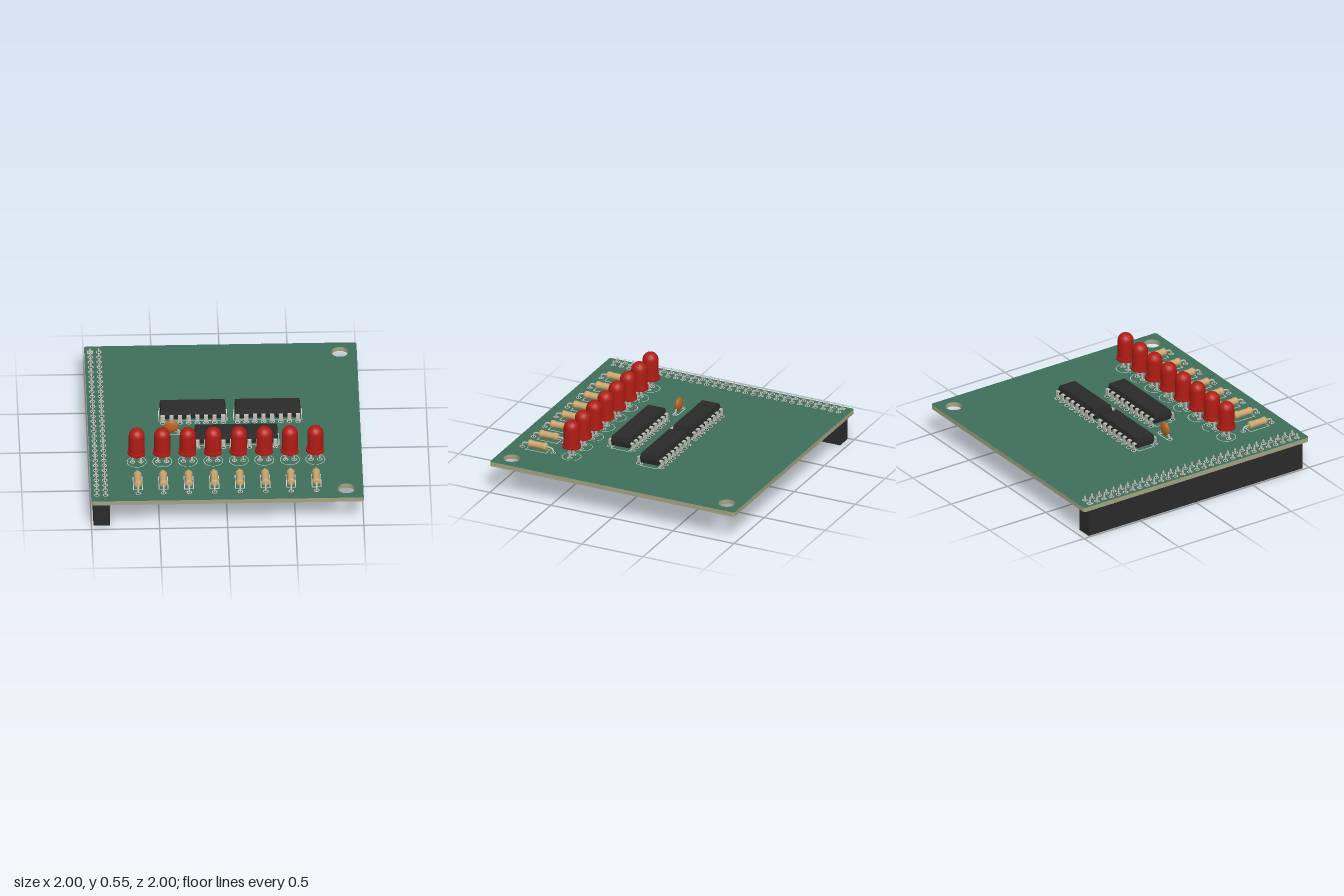
import * as THREE from 'three';
import { mergeGeometries, toCreasedNormals } from 'three/addons/utils/BufferGeometryUtils.js';

const TOP = 0.25, BOTTOM = 0.215, PITCH = 0.0635, PIN_END = 0.182;
const mat = (color) => new THREE.MeshStandardMaterial({ color });
const V = (x, y, z) => new THREE.Vector3(x, y, z);

export function createModel() {
  const model = new THREE.Group();
  const green = mat(0x3f6f5b), edge = mat(0xa3a382), black = mat(0x2a2a2a), metal = mat(0xbdbdb5);
  const red = mat(0xb01c14), tan = mat(0xc9a46c), orange = mat(0xb8641c), white = mat(0xc8cfc8);
  const dark = mat(0x2b2420);

  const add = (name, geometry, material, parent = model) => {
    const m = new THREE.Mesh(geometry, material);
    m.name = name;
    parent.add(m);
    return m;
  };
  const merge = (list) => mergeGeometries(list.map((g) => (g.index ? g.toNonIndexed() : g)));
  const box = (x0, x1, y0, y1, z0, z1) =>
    new THREE.BoxGeometry(x1 - x0, y1 - y0, z1 - z0).translate((x0 + x1) / 2, (y0 + y1) / 2, (z0 + z1) / 2);
  const pads = [], holes = [], marks = [];
  const flatRing = (x, z, r0, r1, n, y = TOP + 0.0015) =>
    new THREE.RingGeometry(r0, r1, n).rotateX(-Math.PI / 2).translate(x, y, z);
  const pad = (x, z, square = false) => {
    pads.push(square
      ? new THREE.RingGeometry(0.013, 0.03, 4, 1, Math.PI / 4).rotateX(-Math.PI / 2).translate(x, TOP + 0.0015, z)
      : flatRing(x, z, 0.012, 0.021, 16));
    holes.push(new THREE.CircleGeometry(0.014, 12).rotateX(-Math.PI / 2).translate(x, TOP + 0.001, z));
  };
  // thin printed rectangle outline on the board
  const outline = (x0, x1, z0, z1, w = 0.006) => {
    const y0 = TOP, y1 = TOP + 0.001;
    marks.push(box(x0, x1, y0, y1, z0, z0 + w), box(x0, x1, y0, y1, z1 - w, z1),
      box(x0, x0 + w, y0, y1, z0, z1), box(x1 - w, x1, y0, y1, z0, z1));
  };

  // Board with rounded corners and two mounting holes
  const r = 0.02, s = new THREE.Shape();
  s.absarc(1 - r, 1 - r, r, 0, Math.PI / 2);
  s.absarc(-1 + r, 1 - r, r, Math.PI / 2, Math.PI);
  s.absarc(-1 + r, -1 + r, r, Math.PI, Math.PI * 1.5);
  s.absarc(1 - r, -1 + r, r, Math.PI * 1.5, Math.PI * 2);
  for (const z of [-0.88, 0.88]) s.holes.push(new THREE.Path().absarc(0.875, z, 0.063, 0, Math.PI * 2, true));
  const boardGeo = new THREE.ExtrudeGeometry(s, { depth: TOP - BOTTOM, bevelEnabled: false, curveSegments: 20 });
  add('board', boardGeo.rotateX(-Math.PI / 2).translate(0, BOTTOM, 0), [green, edge]);

  // Two-row header under the left edge, pins poking through the board
  add('headerSocket', box(-0.985, -0.865, 0, BOTTOM, -0.95, 0.95), black);
  const headerPins = [];
  for (const x of [-0.959, -0.8955]) {
    for (let i = 0; i < 30; i++) {
      const z = -0.922 + i * PITCH;
      headerPins.push(box(x - 0.006, x + 0.006, 0.2, 0.275, z - 0.006, z + 0.006),
        new THREE.ConeGeometry(0.0085, 0.018, 4, 1, false, Math.PI / 4).translate(x, 0.284, z));
      pad(x, z, i === 0 && x < -0.93);
    }
  }
  add('headerPins', merge(headerPins), metal);

  // Dual-in-line chips
  const pinShape = new THREE.Shape([[-0.006, PIN_END], [0.006, PIN_END], [0.006, 0.252], [0.015, 0.268],
    [0.015, 0.31], [-0.015, 0.31], [-0.015, 0.268], [-0.006, 0.252]].map((p) => new THREE.Vector2(...p)));
  const chip = (firstX, count, z) => {
    const g = new THREE.Group();
    g.name = 'chip';
    model.add(g);
    const lastX = firstX + (count - 1) * PITCH, x0 = firstX - 0.019, x1 = lastX + 0.019;
    // body tapers away from its mid seam, on the sides and on the ends
    const body = new THREE.BoxGeometry(x1 - x0, 0.076, 0.155, 1, 2, 1);
    const p = body.attributes.position;
    for (let i = 0; i < p.count; i++) {
      if (Math.abs(p.getY(i)) > 0.01) {
        p.setZ(i, p.getZ(i) - Math.sign(p.getZ(i)) * 0.009);
        p.setX(i, p.getX(i) - Math.sign(p.getX(i)) * 0.006);
      }
    }
    body.translate((x0 + x1) / 2, 0.307, z);
    add('chipBody', toCreasedNormals(body, 0.1), black, g);
    const notch = new THREE.CircleGeometry(0.016, 12, -Math.PI / 2, Math.PI).rotateX(-Math.PI / 2);
    add('chipNotch', notch.translate(x0 + 0.007, 0.3455, z), dark, g);
    const legs = [];
    for (const side of [-1, 1]) {
      for (let i = 0; i < count; i++) {
        const x = firstX + i * PITCH, pz = z + side * 0.0955;
        const leg = new THREE.ExtrudeGeometry(pinShape, { depth: 0.007, bevelEnabled: false });
        leg.translate(x, 0, pz - 0.0035);
        const inner = z + side * 0.07, outer = pz + side * 0.0035;
        legs.push(leg, box(x - 0.015, x + 0.015, 0.303, 0.31, Math.min(inner, outer), Math.max(inner, outer)));
        pad(x, pz, false);
      }
    }
    add('chipLegs', merge(legs), metal, g);
    outline(x0 - 0.012, x1 + 0.012, z - 0.072, z + 0.072);
  };
  chip(-0.45, 8, -0.09);
  chip(0.1, 8, -0.09);
  chip(-0.203, 10, 0.233);

  // Round lamp: dome, flange with one flat side, two legs
  const domeProfile = [new THREE.Vector2(0, 0.335), new THREE.Vector2(0.059, 0.335)];
  for (let i = 0; i <= 10; i++) {
    const a = (i / 10) * Math.PI / 2;
    domeProfile.push(new THREE.Vector2(0.059 * Math.cos(a), 0.486 + 0.059 * Math.sin(a)));
  }
  const dome = toCreasedNormals(new THREE.LatheGeometry(domeProfile, 28), 0.6);
  const flangeShape = new THREE.Shape().absarc(0, 0, 0.068, 0.45, Math.PI * 2 - 0.45);
  const flange = new THREE.ExtrudeGeometry(flangeShape, { depth: 0.022, bevelEnabled: false, curveSegments: 28 });
  flange.rotateX(-Math.PI / 2).translate(0, 0.33, 0);
  const lampLegs = merge([-1, 1].map((k) =>
    box(k * PITCH / 2 - 0.0065, k * PITCH / 2 + 0.0065, PIN_END, 0.335, -0.0065, 0.0065)));

  // Resistor: slightly swollen ends, bent wire leads
  const half = [[0, 0.078], [0.018, 0.078], [0.028, 0.071], [0.03, 0.06], [0.029, 0.047], [0.026, 0.04]];
  const profile = [...half.map(([a, b]) => [a, -b]), ...half.slice().reverse()].map((q) => new THREE.Vector2(...q));
  const resistorBody = new THREE.LatheGeometry(profile, 20).rotateX(Math.PI / 2).translate(0, 0.287, 0);
  const lead = (k) => {
    const path = new THREE.CurvePath();
    path.add(new THREE.LineCurve3(V(0, PIN_END, k * 0.127), V(0, 0.257, k * 0.127)));
    path.add(new THREE.QuadraticBezierCurve3(V(0, 0.257, k * 0.127), V(0, 0.287, k * 0.127), V(0, 0.287, k * 0.097)));
    path.add(new THREE.LineCurve3(V(0, 0.287, k * 0.097), V(0, 0.287, k * 0.07)));
    return new THREE.TubeGeometry(path, 18, 0.007, 8);
  };
  const resistorLeads = merge([lead(-1), lead(1)]);

  for (let i = 0; i < 8; i++) {
    const x = -0.655 + i * 0.1875;
    const lamp = new THREE.Group();
    lamp.name = 'lamp';
    lamp.position.set(x, 0, 0.498);
    add('lampDome', dome, red, lamp);
    add('lampFlange', flange, red, lamp);
    add('lampLegs', lampLegs, metal, lamp);
    const resistor = new THREE.Group();
    resistor.name = 'resistor';
    resistor.position.set(x, 0, 0.775);
    add('resistorBody', resistorBody, tan, resistor);
    add('resistorLeads', resistorLeads, metal, resistor);
    model.add(lamp, resistor);
    for (const k of [-1, 1]) {
      pad(x + k * PITCH / 2, 0.498);
      pad(x, 0.775 + k * 0.127);
    }
    marks.push(flatRing(x, 0.498, 0.068, 0.073, 28, TOP + 0.001));
    outline(x - 0.036, x + 0.036, 0.69, 0.86);
  }

  // Disc capacitor
  const cap = new THREE.Group();
  cap.name = 'capacitor';
  cap.position.set(-0.39, 0, 0.135);
  model.add(cap);
  add('capacitorDisc', new THREE.SphereGeometry(1, 24, 16).scale(0.052, 0.052, 0.022).translate(0, 0.312, 0), orange, cap);
  const capLead = (k) => new THREE.TubeGeometry(new THREE.CatmullRomCurve3([V(k * 0.0635, PIN_END, 0),
    V(k * 0.0635, 0.25, 0), V(k * 0.056, 0.27, 0), V(k * 0.03, 0.295, 0)]), 14, 0.006, 8);
  add('capacitorLeads', merge([capLead(-1), capLead(1)]), metal, cap);
  for (const k of [-1, 1]) pad(-0.39 + k * 0.0635, 0.135);
  outline(-0.45, -0.33, 0.112, 0.158);

  // Pads, drill holes and printed outlines on the board top
  add('solderPads', merge(pads), metal);
  add('drillHoles', merge(holes), dark);
  add('printedOutlines', merge(marks), white);
  return model;
}
